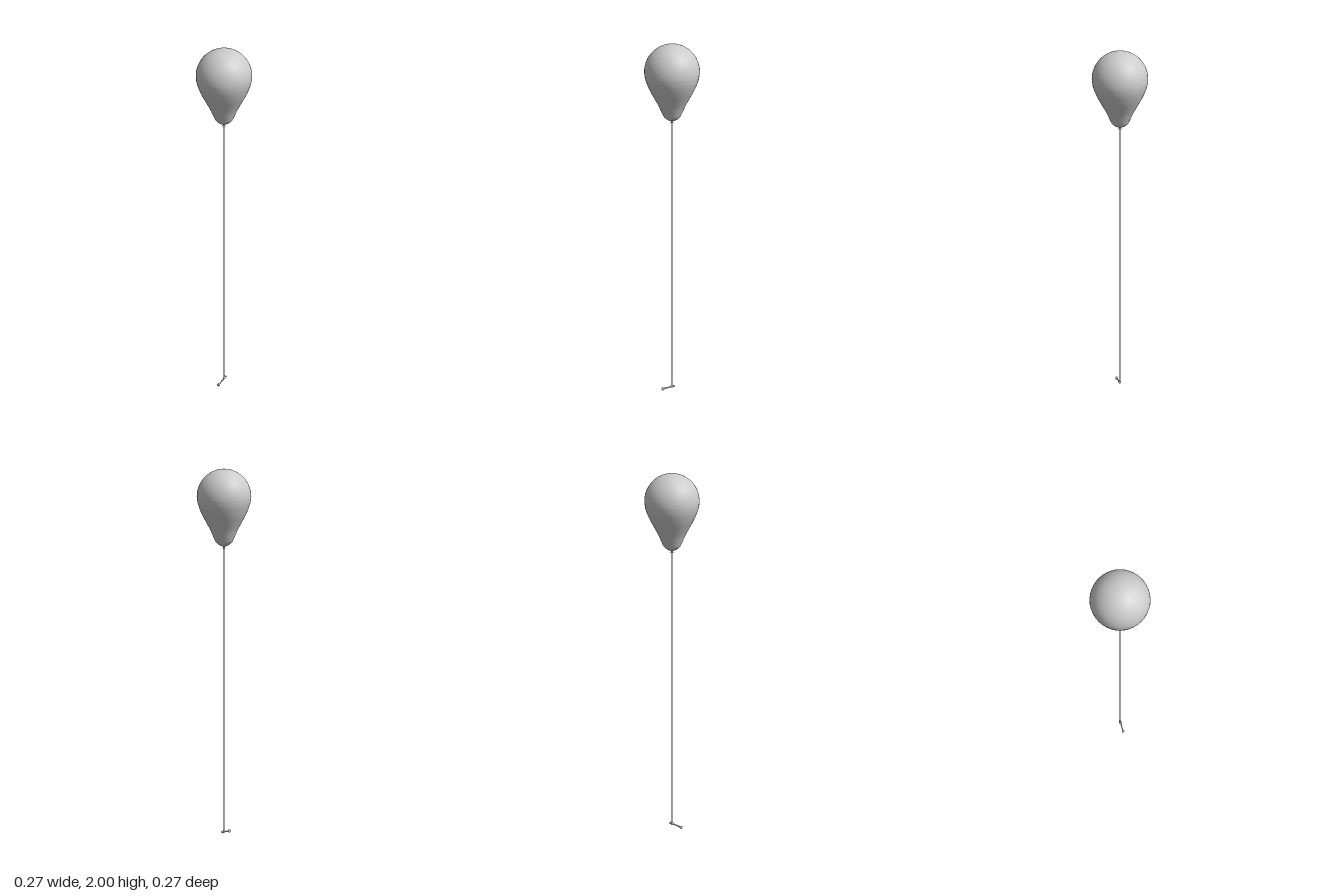
import * as THREE from 'three';

export function createModel() {
  const model = new THREE.Group();
  const material = new THREE.MeshStandardMaterial({ color: 0xcccccc, side: THREE.DoubleSide });
  const add = (name, geometry, parent = model) => {
    const mesh = new THREE.Mesh(geometry, material);
    mesh.name = name;
    parent.add(mesh);
    return mesh;
  };
  const vectors = (points) => points.map(([r, y]) => new THREE.Vector2(r, y));

  // Balloon: tapered neck flowing into a spherical crown
  const R = 0.133, centreY = 2 - R;
  const lower = new THREE.SplineCurve(vectors([
    [0.004, 1.619], [0.022, 1.626], [0.041, 1.643], [0.053, 1.668],
    [0.068, 1.703], [0.09, 1.745], [0.111, 1.786], [0.128, 1.832], [R, centreY],
  ])).getPoints(28);
  const crown = [];
  for (let i = 1; i <= 14; i++) {
    const a = (i / 14) * Math.PI / 2;
    crown.push(new THREE.Vector2(Math.max(0, R * Math.cos(a)), centreY + R * Math.sin(a)));
  }
  add('balloon', new THREE.LatheGeometry([...lower, ...crown], 40));

  // Flared lip below the neck
  add('balloonLip', new THREE.LatheGeometry(
    vectors([[0, 1.609], [0.008, 1.609], [0.004, 1.615], [0.005, 1.622]]), 16));

  // String
  const bottomY = 0.03;
  const string = add('string', new THREE.CylinderGeometry(0.0028, 0.0028, 1.62 - bottomY, 8));
  string.position.y = (1.62 + bottomY) / 2;

  // Small tilted toggle tied to the lower end, flared at both tips
  const from = new THREE.Vector3(0.015, 0.033, 0.002);
  const to = new THREE.Vector3(-0.056, 0.01, 0.012);
  const axis = to.clone().sub(from);
  const L = axis.length();
  const toggle = add('toggle', new THREE.LatheGeometry(vectors([
    [0, 0], [0.006, 0.001], [0.007, 0.005], [0.004, 0.018], [0.0035, L * 0.5],
    [0.004, L - 0.016], [0.009, L - 0.004], [0.008, L], [0, L],
  ]), 12));
  toggle.position.copy(from);
  toggle.quaternion.setFromUnitVectors(new THREE.Vector3(0, 1, 0), axis.normalize());

  // Knot where the string wraps the toggle
  const knot = add('knot', new THREE.SphereGeometry(0.008, 12, 8));
  knot.position.set(0, bottomY, 0.003);

  return model;
}
